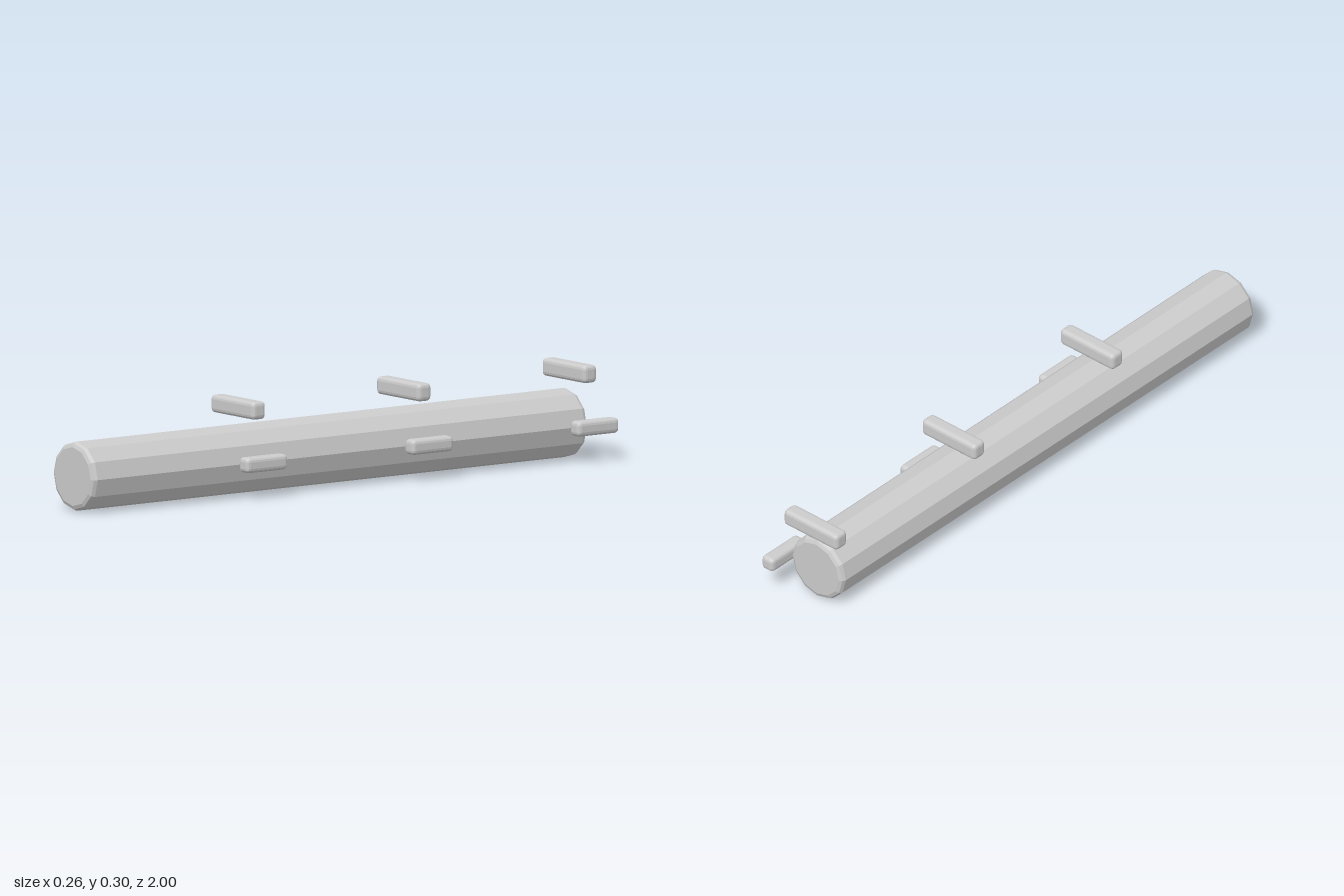
import * as THREE from 'three';
import { RoundedBoxGeometry } from 'three/addons/geometries/RoundedBoxGeometry.js';

const material = new THREE.MeshStandardMaterial({ color: 0xcccccc, flatShading: true });

function addMesh(parent, name, geometry, x, y, z) {
  const mesh = new THREE.Mesh(geometry, material);
  mesh.name = name;
  mesh.position.set(x, y, z);
  parent.add(mesh);
  return mesh;
}

export function createModel() {
  const model = new THREE.Group();
  model.name = 'barrelWithMounts';

  // Twelve-sided barrel with softly bevelled ends, lying along z
  const radius = 0.108, back = -0.915, front = 1;
  const profile = [
    [0, back], [radius - 0.016, back], [radius - 0.005, back + 0.005], [radius, back + 0.016],
    [radius, front - 0.016], [radius - 0.005, front - 0.005], [radius - 0.016, front], [0, front],
  ].map(([r, z]) => new THREE.Vector2(r, z));
  const barrel = new THREE.LatheGeometry(profile, 12);
  barrel.rotateX(Math.PI / 2);
  addMesh(model, 'barrel', barrel, -0.022, 0.11, 0);

  // Three floating crossbars above, each paired with a side peg
  const barGeometry = new RoundedBoxGeometry(0.222, 0.056, 0.052, 2, 0.014);
  const pegGeometry = new RoundedBoxGeometry(0.048, 0.048, 0.16, 2, 0.014);
  for (const z of [0.36, -0.28, -0.92]) {
    addMesh(model, 'crossbar', barGeometry, -0.022, 0.271, z);
    addMesh(model, 'sidePeg', pegGeometry, 0.108, 0.11, z);
  }

  return model;
}
